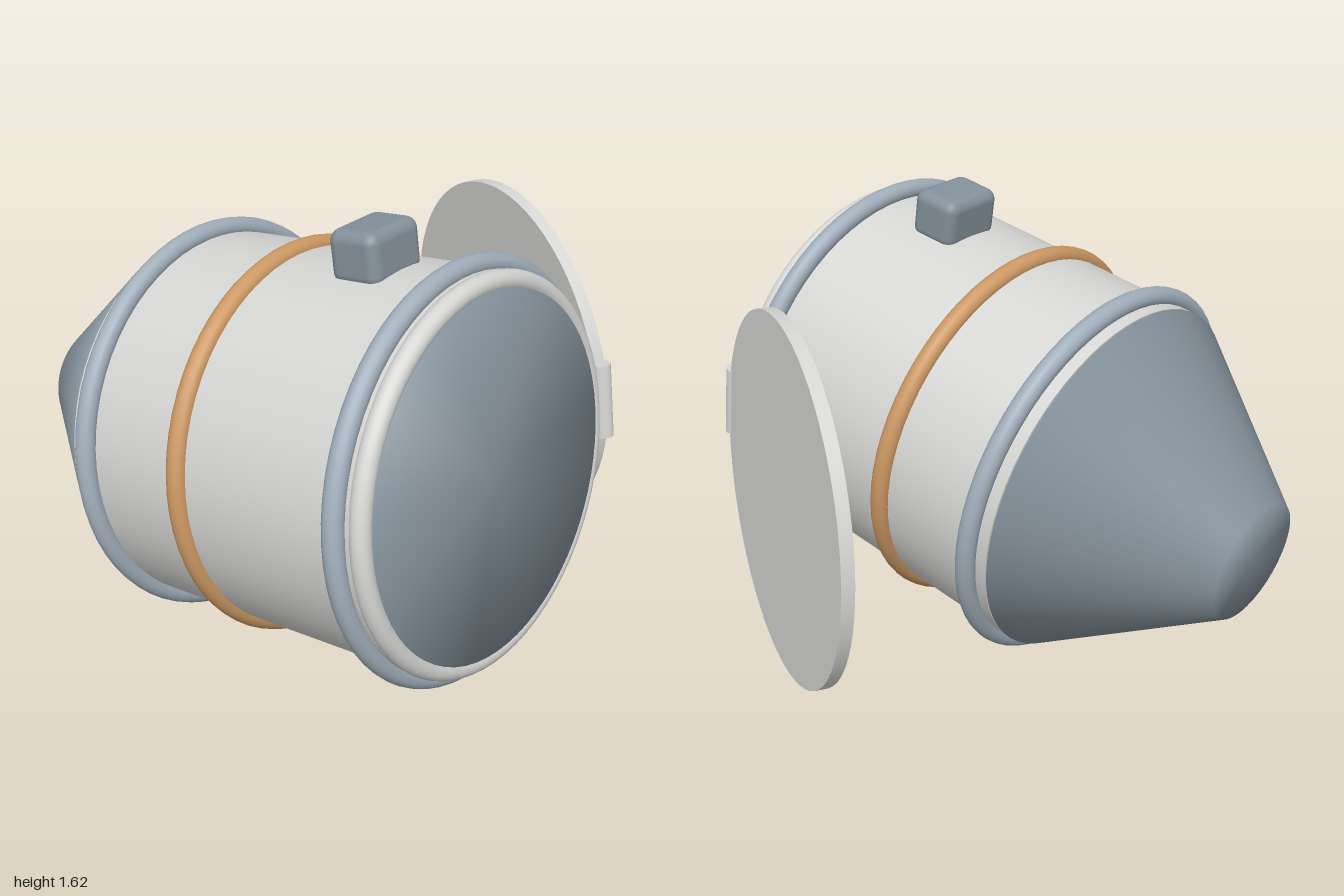
import * as THREE from 'three';
import { mergeVertices } from 'three/addons/utils/BufferGeometryUtils.js';
import { RoundedBoxGeometry } from 'three/addons/geometries/RoundedBoxGeometry.js';

const SEG = 64;
const deg = THREE.MathUtils.degToRad;

function material(name, color) {
  const m = new THREE.MeshStandardMaterial({ color });
  m.name = name;
  return m;
}

// Cylinder or frustum lying along z, from zBack to zFront
function drum(rFront, rBack, zFront, zBack) {
  return new THREE.CylinderGeometry(rFront, rBack, zFront - zBack, SEG)
    .rotateX(Math.PI / 2)
    .translate(0, 0, (zFront + zBack) / 2);
}

// Share vertices over the rims so the caps shade softly into the sides
function soften(geometry) {
  geometry.deleteAttribute('normal');
  geometry.deleteAttribute('uv');
  const g = mergeVertices(geometry, 1e-4);
  g.computeVertexNormals();
  return g;
}

export function createModel() {
  const model = new THREE.Group();
  const white = material('paleGrey', 0xd6d7d4);
  const slate = material('slateGrey', 0x84919b);
  const steel = material('lightSteel', 0xa0aeba);
  const copper = material('copper', 0xcc9863);

  // Whole capsule is turned and pitched slightly nose-up
  const capsule = new THREE.Group();
  capsule.name = 'capsule';
  capsule.position.set(-0.18, 0.79, 0.24);
  capsule.rotation.set(deg(-8), deg(10), 0, 'YXZ');
  model.add(capsule);

  function add(name, geometry, mat, x = 0, y = 0, z = 0) {
    const mesh = new THREE.Mesh(geometry, mat);
    mesh.name = name;
    mesh.position.set(x, y, z);
    capsule.add(mesh);
    return mesh;
  }

  // Barrel body
  add('barrel', drum(0.66, 0.66, 0.58, -0.61), white);

  // Rear cone and front opening
  add('rearCone', soften(drum(0.66, 0.22, -0.615, -1.22)), slate);
  add('frontOpening', soften(drum(0.61, 0.61, 0.636, 0.236)), slate);

  // Hoops around the barrel: [name, radius, tube, z, material]
  const hoops = [
    ['frontHoop', 0.675, 0.035, 0.535, steel],
    ['rearHoop', 0.675, 0.035, -0.535, steel],
    ['middleBand', 0.66, 0.035, -0.12, copper],
    ['openingRim', 0.63, 0.035, 0.6, white],
  ];
  for (const [name, radius, tube, z, mat] of hoops) {
    add(name, new THREE.TorusGeometry(radius, tube, 16, SEG), mat, 0, 0, z);
  }

  // Box on top
  add('topBox', new RoundedBoxGeometry(0.25, 0.18, 0.19, 4, 0.04), slate, 0, 0.715, 0.24);

  // Open hatch door and its hinge
  const hatch = new THREE.CylinderGeometry(0.645, 0.645, 0.045, SEG).rotateZ(Math.PI / 2);
  add('hatchDoor', hatch, white, 0.954, 0, 0.037).rotation.y = deg(-25);
  add('hinge', new THREE.CylinderGeometry(0.035, 0.035, 0.27, 24), white, 0.681, 0, 0.62);

  return model;
}
